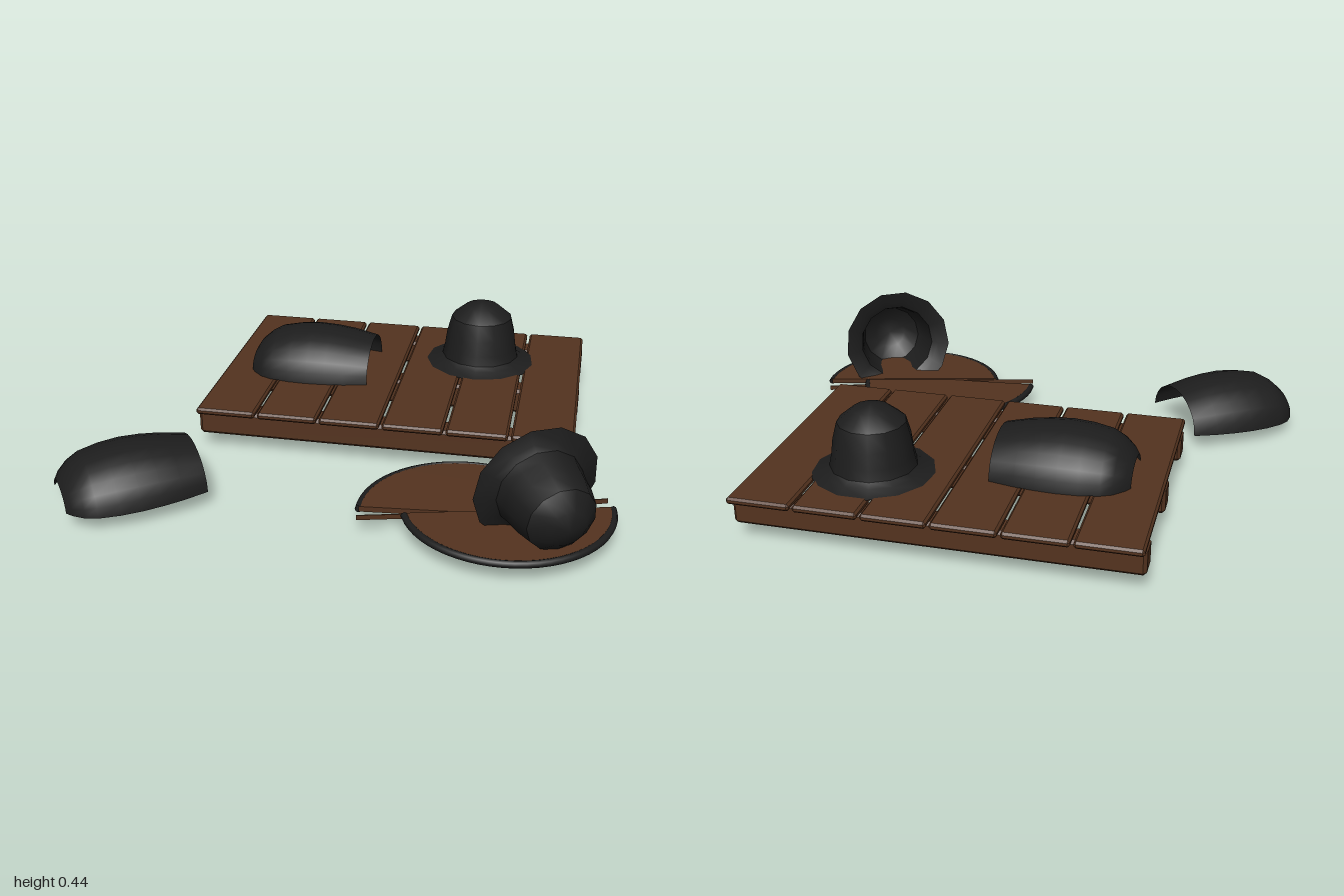
import * as THREE from 'three';
import { ConvexGeometry } from 'three/addons/geometries/ConvexGeometry.js';
import { toCreasedNormals } from 'three/addons/utils/BufferGeometryUtils.js';

const wood = new THREE.MeshStandardMaterial({ name: 'wood brown', color: 0x54331f });
const iron = new THREE.MeshStandardMaterial({ name: 'black iron', color: 0x1d1d1d, side: THREE.DoubleSide });

function add(parent, name, geometry, material) {
  const mesh = new THREE.Mesh(geometry, material);
  mesh.name = name;
  parent.add(mesh);
  return mesh;
}

// Box with chamfered edges
function chamferedBox(w, h, d, c) {
  const points = [];
  for (const sx of [-1, 1]) for (const sy of [-1, 1]) for (const sz of [-1, 1]) {
    const x = w / 2, y = h / 2, z = d / 2;
    points.push(
      new THREE.Vector3(sx * x, sy * (y - c), sz * (z - c)),
      new THREE.Vector3(sx * (x - c), sy * y, sz * (z - c)),
      new THREE.Vector3(sx * (x - c), sy * (y - c), sz * z));
  }
  return new ConvexGeometry(points);
}

// Half of a round board with a rounded iron rim along its arc
function boardHalf(name, cx, cz, r, a0, a1, lift) {
  const group = new THREE.Group();
  group.name = name;
  group.position.set(cx, lift, cz);
  const disc = new THREE.Shape();
  disc.moveTo(0, 0);
  disc.absarc(0, 0, r - 0.013, a0, a1, false);
  disc.closePath();
  const face = new THREE.ExtrudeGeometry(disc, { depth: 0.02, bevelEnabled: false, curveSegments: 28 });
  add(group, 'boardFace', face.rotateX(Math.PI / 2).translate(0, 0.083, 0), wood);
  const rim = new THREE.TorusGeometry(r - 0.013, 0.013, 8, 28, a1 - a0);
  add(group, 'boardRim', rim.rotateZ(a0).rotateX(Math.PI / 2).translate(0, 0.073, 0), iron);
  return group;
}

// Brimmed helmet shell, open below, standing on its brim
function helmetGeometry() {
  const profile = [[0.227, 0], [0.18, 0.015], [0.157, 0.03], [0.148, 0.07], [0.14, 0.13],
    [0.123, 0.195], [0.066, 0.242], [0.0001, 0.258]];
  return toCreasedNormals(new THREE.LatheGeometry(profile.map(p => new THREE.Vector2(...p)), 13), 0.6);
}

// Bulging half-barrel plate: [x, half width, height] sections
function archGeometry() {
  const sections = [[-0.245, 0.108, 0.062], [-0.228, 0.134, 0.09], [-0.192, 0.17, 0.122], [-0.15, 0.19, 0.146],
    [-0.075, 0.204, 0.161], [0, 0.208, 0.167], [0.075, 0.204, 0.163], [0.15, 0.195, 0.153], [0.245, 0.175, 0.132]];
  const steps = 12, pos = [], index = [];
  sections.forEach(([x, w, h], i) => {
    for (let j = 0; j <= steps; j++) {
      const a = Math.PI * j / steps;
      pos.push(x, h * Math.sin(a), w * Math.cos(a));
      if (i && j) {
        const d = i * (steps + 1) + j, b = d - steps - 1;
        index.push(b - 1, d - 1, d, b - 1, d, b);
      }
    }
  });
  const geometry = new THREE.BufferGeometry();
  geometry.setAttribute('position', new THREE.Float32BufferAttribute(pos, 3));
  geometry.setIndex(index);
  geometry.computeVertexNormals();
  return geometry;
}

export function createModel() {
  const model = new THREE.Group();
  model.name = 'woodAndArmour';

  // Platform: six planks over three beams
  const platform = new THREE.Group();
  platform.name = 'platform';
  model.add(platform);
  const plank = chamferedBox(0.23, 0.026, 1.024, 0.008);
  for (let i = 0; i < 6; i++) {
    add(platform, 'plank', plank, wood).position.set(-0.491 + i * 0.2412, 0.177, -0.35);
  }
  const beam = chamferedBox(1.44, 0.1, 0.096, 0.012);
  for (const z of [0.075, -0.347, -0.767]) {
    add(platform, 'beam', beam, wood).position.set(0.112, 0.115, z);
  }

  // Round board split in two shifted halves
  const board = new THREE.Group();
  board.name = 'brokenBoard';
  board.add(boardHalf('backHalf', 0.475, 0.554, 0.373, 3.05, 6.19, 0));
  board.add(boardHalf('frontHalf', 0.619, 0.477, 0.376, -0.148, 2.78, 0.004));
  model.add(board);

  // Upright splinters at the break
  for (const [x0, z0, x1, z1] of [[0.12, 0.645, 0.4, 0.572], [0.7, 0.455, 0.96, 0.36]]) {
    const dx = x1 - x0, dz = z1 - z0;
    const splinter = add(board, 'splinter', new THREE.BoxGeometry(Math.hypot(dx, dz), 0.018, 0.004), wood);
    splinter.position.set((x0 + x1) / 2, 0.073, (z0 + z1) / 2);
    splinter.rotation.y = -Math.atan2(dz, dx);
  }

  // Helmets: one standing, one tipped through the board
  const helmet = helmetGeometry();
  add(model, 'standingHelmet', helmet, iron).position.set(0.412, 0.188, -0.538);
  const tipped = add(model, 'tippedHelmet', helmet, iron);
  tipped.position.set(0.715, 0.227, 0.568);
  tipped.quaternion.setFromUnitVectors(new THREE.Vector3(0, 1, 0), new THREE.Vector3(0.48, -0.15, 0.86).normalize());

  // Curved armour plates
  const arch = archGeometry();
  add(model, 'platformPlate', arch, iron).position.set(-0.25, 0.19, -0.353);
  const groundPlate = add(model, 'groundPlate', arch, iron);
  groundPlate.position.set(-0.735, 0.06, 0.558);
  groundPlate.rotation.set(0, 0.61, 0.02);

  return model;
}
